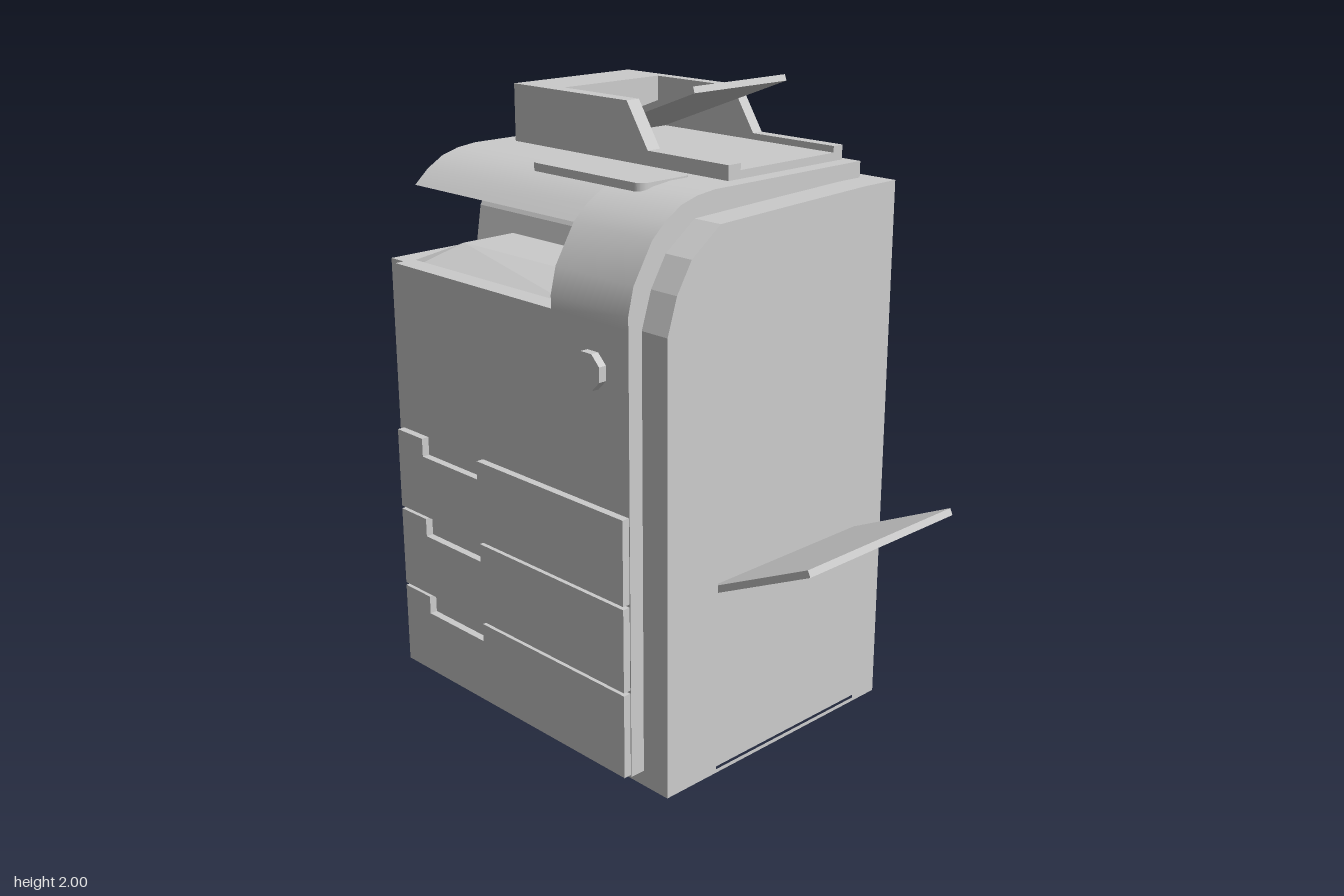
import * as THREE from 'three';
import { toCreasedNormals } from 'three/addons/utils/BufferGeometryUtils.js';

const material = new THREE.MeshStandardMaterial({ color: 0xcccccc });
const vec = (points) => points.map(([x, y]) => new THREE.Vector2(x, y));
const rect = (a0, a1, b0, b1) => [[a0, b0], [a1, b0], [a1, b1], [a0, b1]];

export function createModel() {
  const model = new THREE.Group();

  const add = (name, geometry) => {
    const mesh = new THREE.Mesh(geometry, material);
    mesh.name = name;
    model.add(mesh);
    return mesh;
  };
  // Outline in [x, y], extruded from z0 to z1
  const extrudeZ = (points, z0, z1, holes = []) => {
    const shape = new THREE.Shape(vec(points));
    holes.forEach((h) => shape.holes.push(new THREE.Path(vec(h))));
    return new THREE.ExtrudeGeometry(shape, { depth: z1 - z0, bevelEnabled: false }).translate(0, 0, z0);
  };
  // Outline in [z, y], extruded from x0 to x1
  const extrudeX = (points, x0, x1, holes = []) => {
    const flip = (list) => list.map(([z, y]) => [-z, y]);
    return extrudeZ(flip(points), x0, x1, holes.map(flip)).rotateY(Math.PI / 2);
  };
  const box = (name, x0, x1, y0, y1, z0, z1) => add(name,
    new THREE.BoxGeometry(x1 - x0, y1 - y0, z1 - z0)
      .translate((x0 + x1) / 2, (y0 + y1) / 2, (z0 + z1) / 2));
  // Sloping board, its top edge running from [x0, y0] to [x1, y1]
  const board = (name, x0, y0, x1, y1, z0, z1, t) => {
    const l = Math.hypot(x1 - x0, y1 - y0);
    const dx = (t * (y1 - y0)) / l, dy = (-t * (x1 - x0)) / l;
    add(name, extrudeZ([[x0, y0], [x0 + dx, y0 + dy], [x1 + dx, y1 + dy], [x1, y1]], z0, z1));
  };

  // Cabinet: low left part with the output shelf, full-height right part
  add('cabinetLeft', extrudeX([[0.435, 0], [0.435, 1.41], [0.09, 1.41], [0.07, 1.53],
    [-0.03, 1.71], [-0.51, 1.71], [-0.51, 0]], -0.81, 0.04));
  const side = [[0.44, 0], [0.44, 1.41], [0.405, 1.52], [0.35, 1.61], [0.24, 1.69],
    [-0.05, 1.7], [-0.37, 1.71], [-0.51, 1.71], [-0.51, 0]];
  add('cabinetRight', extrudeX(side, 0.04, 0.35));
  // Side panel, recessed twice around the bypass slot
  add('bypassSlot', extrudeX(side, 0.35, 0.435, [rect(-0.36, 0.19, 0.62, 1.045)]));
  add('sideFrame', extrudeX(side, 0.435, 0.46,
    [[[-0.405, 0.012], [0.235, 0.012], [0.235, 1.405], [-0.405, 1.388]]]));
  board('bypassTray', 0.43, 0.608, 0.8, 0.78, -0.41, 0.235, 0.022);

  // Front door and the curved corner beside the output opening
  box('frontDoor', -0.71, 0.36, 0.05, 1.42, 0.42, 0.49);
  const curve = [[0.4, 1.655], [0.35, 1.7], [0.29, 1.735], [0.23, 1.752], [0.16, 1.76], [-0.465, 1.76]];
  add('frontCorner', toCreasedNormals(extrudeX([[0.42, 1.42], [0.49, 1.42], [0.49, 1.46],
    [0.47, 1.54], ...curve, [-0.465, 1.69], [0.23, 1.68], [0.34, 1.6], [0.4, 1.5]], 0.04, 0.36), 0.6));
  // Overhanging hood above the output shelf
  add('hood', toCreasedNormals(extrudeX([...curve, [-0.465, 1.7], [0.15, 1.71],
    [0.27, 1.69], [0.34, 1.655]], -0.71, 0.04), 0.5));

  // Raised output tray with a sloping front
  const tray = extrudeZ([[-0.7, 1.4], [0.04, 1.4], [0.04, 1.42], [-0.06, 1.465],
    [-0.63, 1.465], [-0.7, 1.42]], 0.08, 0.42);
  const pos = tray.attributes.position;
  for (let i = 0; i < pos.count; i++) {
    if (pos.getY(i) > 1.45 && pos.getZ(i) > 0.3) pos.setZ(i, 0.28);
  }
  tray.computeVertexNormals();
  add('outputTray', tray);

  // Drawers with a notched handle in the upper edge
  [[0.055, 0.325, 0.265], [0.335, 0.6, 0.54], [0.61, 0.875, 0.815]].forEach(([y0, y1, notch], i) => {
    add('drawer' + (i + 1), extrudeZ([[-0.71, y0], [0.357, y0], [0.357, y1], [-0.3, y1],
      [-0.3, notch], [-0.58, notch], [-0.58, y1], [-0.71, y1]], 0.48, 0.515));
  });

  // Eight-sided button
  add('button', toCreasedNormals(new THREE.CylinderGeometry(0.058, 0.058, 0.035, 8)
    .rotateY(Math.PI / 8).rotateX(Math.PI / 2).translate(0.215, 1.28, 0.498), 0.3));

  // Control panel with rounded corners
  const [px, pz, r] = [0.242, 0.1, 0.03];
  const panel = new THREE.Shape();
  panel.absarc(px - r, pz - r, r, 0, Math.PI / 2);
  panel.absarc(-px + r, pz - r, r, Math.PI / 2, Math.PI);
  panel.absarc(-px + r, -pz + r, r, Math.PI, Math.PI * 1.5);
  panel.absarc(px - r, -pz + r, r, Math.PI * 1.5, Math.PI * 2);
  add('controlPanel', new THREE.ExtrudeGeometry(panel, { depth: 0.025, bevelEnabled: false, curveSegments: 5 })
    .rotateX(-Math.PI / 2).translate(-0.058, 1.74, 0.173));

  // Document feeder: head block, two side rails, channel floor, sloping paper tray
  box('feederHead', -0.64, -0.455, 1.75, 1.943, -0.445, 0.05);
  [[-0.445, -0.405], [0, 0.05]].forEach(([z0, z1]) => add('feederRail',
    extrudeZ([[-0.455, 1.75], [0.305, 1.75], [0.305, 1.805], [-0.025, 1.805],
      [-0.115, 1.943], [-0.455, 1.943]], z0, z1)));
  box('feederFloor', -0.455, 0.305, 1.75, 1.785, -0.405, 0);
  board('feederTray', -0.435, 1.8, 0.107, 2.0, -0.4, -0.005, 0.02);

  return model;
}
